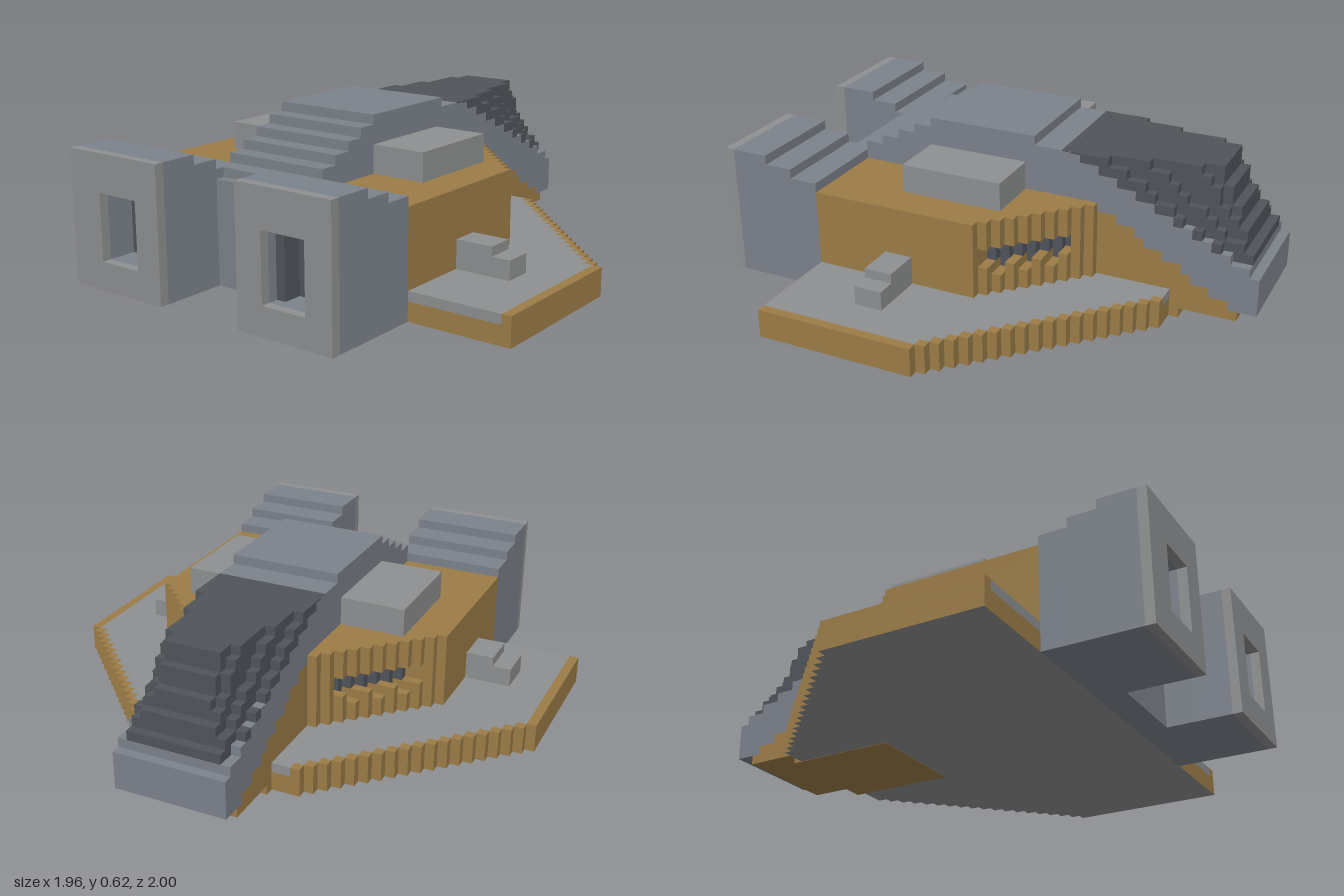
import * as THREE from 'three';
import { mergeGeometries } from 'three/addons/utils/BufferGeometryUtils.js';

const U = 2 / 55; // one block; rows run from the back (0) to the front (55)
const paint = (color) => new THREE.MeshStandardMaterial({ color });
const TAN = paint(0x9c7c48), GREY = paint(0x8e8f90), SLATE = paint(0x7c828b), DARK = paint(0x50545a);

// Box between block coordinates
function block(x0, x1, y0, y1, r0, r1) {
  const g = new THREE.BoxGeometry((x1 - x0) * U, (y1 - y0) * U, (r1 - r0) * U);
  return g.translate((x0 + x1) / 2 * U, (y0 + y1) / 2 * U, ((r0 + r1) / 2 - 27.5) * U);
}

// Horizontal slab from an outline of [x, row] points
function slab(points, y0, y1) {
  const shape = new THREE.Shape(points.map(([x, r]) => new THREE.Vector2(x * U, (27.5 - r) * U)));
  const g = new THREE.ExtrudeGeometry(shape, { depth: (y1 - y0) * U, bevelEnabled: false });
  return g.rotateX(-Math.PI / 2).translate(0, y0 * U, 0);
}

// Stepped right edge of the wing, from back to front
function wingEdge(inset) {
  const pts = [];
  for (let r = 9; r <= 27; r++) {
    pts.push([r - inset, r]);
    pts.push([r - inset, r < 27 ? r + 1 : 44]);
  }
  return pts;
}
const mirrored = (pts) => pts.map(([x, r]) => [-x, r]).reverse();

export function createModel() {
  const model = new THREE.Group();
  const add = (name, geometry, material) => {
    const mesh = new THREE.Mesh(Array.isArray(geometry) ? mergeGeometries(geometry) : geometry, material);
    mesh.name = name;
    model.add(mesh);
  };

  // Wing plate: tan sides, grey deck, tan rim along the stepped edges
  const edge = wingEdge(0), inner = wingEdge(1);
  add('wingBase', slab([...edge, ...mirrored(edge)], 0, 2), [GREY, TAN]);
  add('wingDeck', slab([...inner, ...mirrored(inner)], 2, 3), GREY);
  const rim = [...edge, ...[...inner].reverse()];
  add('wingRim', [slab(rim, 2, 3), slab(mirrored(rim), 2, 3)], TAN);
  add('bellyPanel', block(-6, 6, -0.03, 0.5, 8, 20), TAN);

  // Hull with stepped rear corners and a slit window in each corner
  const hull = [block(-17, 16, 3, 11, 27, 44)], slits = [];
  for (let r = 17; r < 27; r++) {
    const left = r - 10, right = Math.min(16, r - 10);
    if (r < 19 || r > 25) {
      hull.push(block(-left, right, 3, 11, r, r + 1));
      continue;
    }
    const sill = r % 2 ? 6 : 5;
    hull.push(block(-left, right, 3, sill, r, r + 1), block(-left, right, 8, 11, r, r + 1));
    slits.push(block(-left + 2, right - 2, sill, 8, r, r + 1));
  }
  add('hull', hull, TAN);
  add('slitWindows', slits, DARK);

  // Roof boxes and small side steps
  add('roofBoxes', block(-13, 12, 11, 14, 25, 36), GREY);
  add('sideSteps', [
    block(16, 22, 3, 5, 33, 36), block(16, 20, 5, 6, 33, 36),
    block(-22, -17, 3, 5, 34, 38), block(-20, -17, 5, 6, 34, 38),
  ], GREY);

  // Spine along the roof, stepping down to the front
  const spine = [block(-6, 6, 11, 17, 24, 36), block(-6, 6, 11, 16, 20, 24)];
  for (let i = 0; i < 4; i++) spine.push(block(-6, 6, 11, 16 - i, 36 + 2 * i, 38 + 2 * i));
  add('spine', spine, SLATE);
  add('spineRear', block(-6, 6, 15.9, 16.02, 20, 21), DARK);

  // Tail: tan below, a slanted slate band, dark stepped layers above
  const tan = [], band = [], dark = [];
  const layers = [[6, 0, 6, 16], [5, 1, 8, 12], [4, 2, 10, 7], [3, 3, 12, 5]]; // half width, first row, its height, row at full height
  for (let r = 0; r < 20; r++) {
    const floor = r < 2 ? 2 : 1;
    const low = r < 2 ? 2 : Math.min(11, Math.round(2 + (r - 2) * 0.6));
    const high = Math.round(6 + r * 10 / 19);
    const base = r === 8 ? 0 : floor;
    if (low > base) tan.push(block(-6, 6, base, low, r, r + 1));
    band.push(block(-6, 6, low, Math.min(high, 15.8), r, r + 1));
    let from = Math.min(high, 15.8);
    for (const [half, first, start, full] of layers) {
      if (r < first) continue;
      const top = Math.min(16, Math.round(start + (r - first) * (16 - start) / (full - first)));
      if (top > from) {
        dark.push(block(-half, half, from, top, r, r + 1));
        from = top;
      }
    }
  }
  add('tailUnderside', tan, TAN);
  add('tailBand', band, SLATE);
  add('tailLayers', dark, DARK);

  // Wall between the two front towers
  add('frontWall', [block(-5, 5, 0, 12, 44, 46), block(-5, 5, 0, 11, 46, 47)], SLATE);

  // Front towers, each with a deep window
  for (const [name, x0, x1, w0, w1, strip] of [
    ['rightTower', -17, -5, -13, -8, -9], ['leftTower', 5, 16, 8, 13, 8],
  ]) {
    const frame = (r0, r1) => [
      block(x0, w0, 0, 14, r0, r1), block(w1, x1, 0, 14, r0, r1),
      block(w0, w1, 0, 3, r0, r1), block(w0, w1, 10, 14, r0, r1),
    ];
    add(name, [block(x0, x1, 0, 12, 44, 47), block(x0, x1, 0, 13, 47, 50), ...frame(50, 54)], SLATE);
    add(name + 'Face', frame(54, 55), GREY);
    add(name + 'Window', [block(w0, w1, 3, 10, 50, 51), block(strip, strip + 1, 3, 10, 51, 53)], DARK);
  }
  return model;
}
